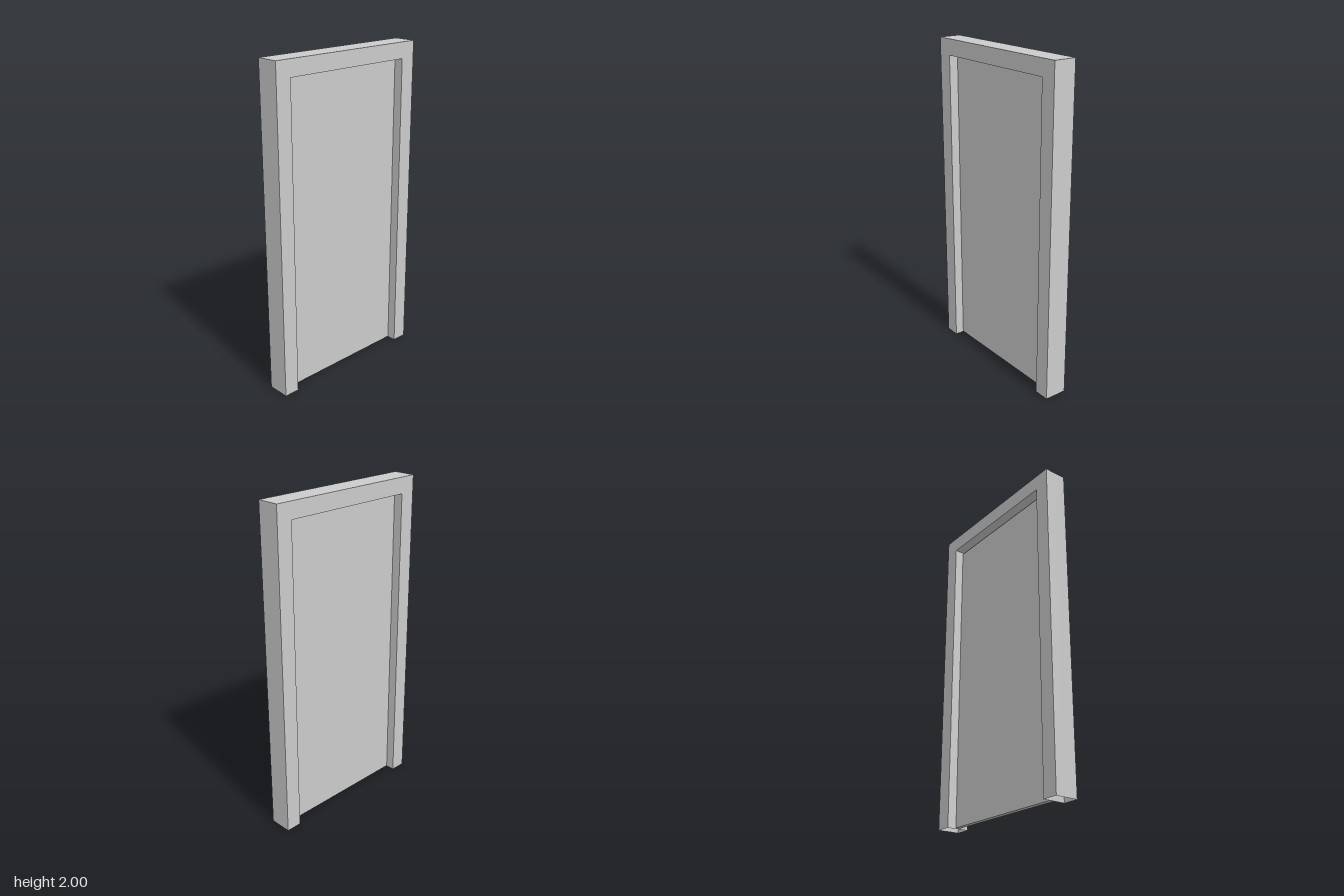
import * as THREE from 'three';

const W = 0.527, H = 2, DEPTH = 0.14; // frame half width, height, depth
const OPEN_W = 0.43, OPEN_H = 1.902;  // opening half width and height

// Removes the triangles lying on the ground, leaving the hollow jambs open below
function openBottom(geometry) {
  const p = geometry.attributes.position, kept = [];
  for (let i = 0; i < p.count; i += 3) {
    const corners = [i, i + 1, i + 2];
    if (corners.every((k) => Math.abs(p.getY(k)) < 1e-5)) continue;
    for (const k of corners) kept.push(p.getX(k), p.getY(k), p.getZ(k));
  }
  const result = new THREE.BufferGeometry();
  result.setAttribute('position', new THREE.Float32BufferAttribute(kept, 3));
  result.computeVertexNormals();
  return result;
}

export function createModel() {
  const group = new THREE.Group();
  group.name = 'door';

  // Door frame: two jambs and a lintel as one hollow shell
  const outline = new THREE.Shape([
    [-W, 0], [-OPEN_W, 0], [-OPEN_W, OPEN_H], [OPEN_W, OPEN_H],
    [OPEN_W, 0], [W, 0], [W, H], [-W, H],
  ].map(([x, y]) => new THREE.Vector2(x, y)));
  const shell = new THREE.ExtrudeGeometry(outline, { depth: DEPTH, bevelEnabled: false });
  shell.translate(0, 0, -DEPTH / 2);
  const frame = new THREE.Mesh(
    openBottom(shell),
    new THREE.MeshStandardMaterial({ color: 0xcccccc, side: THREE.DoubleSide }),
  );
  frame.name = 'doorFrame';
  group.add(frame);

  // Door panel, recessed on both sides with a thin gap all round
  const bottom = 0.005, top = 1.892;
  const panel = new THREE.Mesh(
    new THREE.BoxGeometry(0.854, top - bottom, 0.03),
    new THREE.MeshStandardMaterial({ color: 0xcccccc }),
  );
  panel.name = 'doorPanel';
  panel.position.y = (top + bottom) / 2;
  group.add(panel);

  return group;
}
